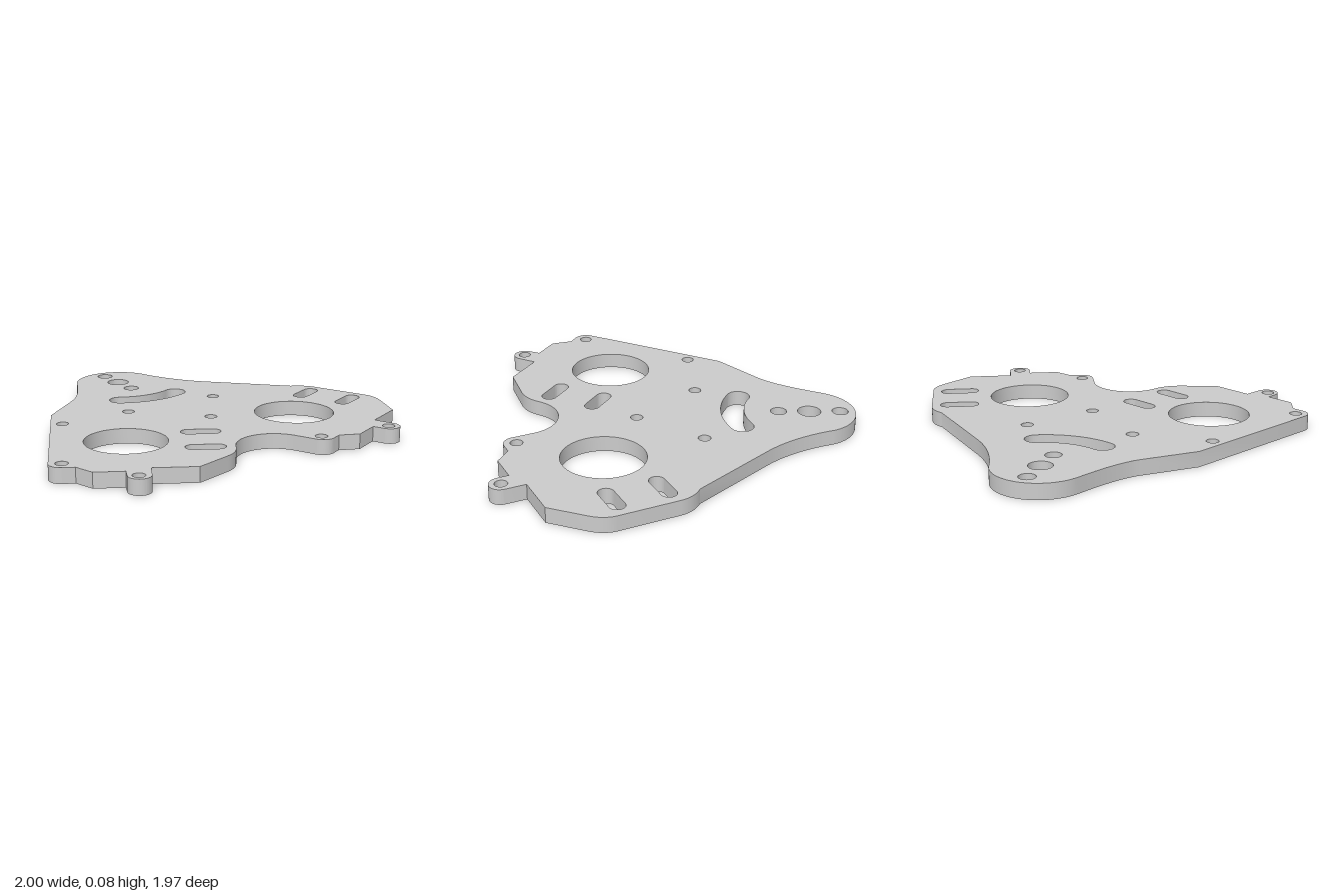
import * as THREE from 'three';
import { toCreasedNormals } from 'three/addons/utils/BufferGeometryUtils.js';

const THICKNESS = 0.08;
const PI = Math.PI;

// Round hole
function roundHole(x, z, r) {
  return new THREE.Path().absarc(x, z, r, 0, PI * 2, false);
}

// Straight slot with round ends, from (x1, z1) to (x2, z2)
function slot(x1, z1, x2, z2, r) {
  const a = Math.atan2(z2 - z1, x2 - x1);
  const p = new THREE.Path();
  p.absarc(x2, z2, r, a - PI / 2, a + PI / 2, false);
  p.absarc(x1, z1, r, a + PI / 2, a + PI * 1.5, false);
  p.closePath();
  return p;
}

// Curved slot following an arc of radius R about (x, z), angles a0 to a1
function arcSlot(x, z, R, a0, a1, r) {
  const p = new THREE.Path();
  p.absarc(x, z, R + r, a0, a1, false);
  p.absarc(x + R * Math.cos(a1), z + R * Math.sin(a1), r, a1, a1 + PI, false);
  p.absarc(x, z, R - r, a1, a0, true);
  p.absarc(x + R * Math.cos(a0), z + R * Math.sin(a0), r, a0 + PI, a0 + PI * 2, false);
  p.closePath();
  return p;
}

// Plate outline, drawn in x and z
function plateOutline() {
  const s = new THREE.Shape();
  // back edge
  s.moveTo(0.13, -0.93);
  s.quadraticCurveTo(0.185, -0.985, 0.26, -0.985);
  s.lineTo(0.57, -0.985);
  s.quadraticCurveTo(0.635, -0.985, 0.69, -0.93);
  s.lineTo(0.835, -0.78);
  s.lineTo(0.835, -0.548);
  // side ear and rounded corner
  s.absarc(0.942, -0.49, 0.058, -PI / 2, PI / 2, false);
  s.lineTo(0.88, -0.432);
  s.lineTo(0.88, -0.275);
  s.lineTo(0.8, -0.2);
  s.absarc(0.735, -0.14, 0.065, 0, PI / 2, false);
  // round bay and shoulder
  s.absarc(0.62, 0.125, 0.2, -PI / 2, 2.46 - PI * 2, true);
  s.absarc(0.312, 0.374, 0.195, -0.68, 0.1, false);
  s.lineTo(0.48, 0.605);
  s.lineTo(0.3, 0.745);
  // front ears
  s.absarc(0.315, 0.86, 0.058, -0.66, 2.42, false);
  s.lineTo(0.23, 0.85);
  s.lineTo(0.11, 0.945);
  s.lineTo(0, 0.93);
  s.absarc(-0.09, 0.92, 0.065, 0.78, 2.5, false);
  // left flank and large rounded lobe
  s.lineTo(-0.645, 0.31);
  s.lineTo(-0.73, 0.02);
  s.quadraticCurveTo(-0.763, -0.094, -0.94, -0.295);
  s.absarc(-0.76, -0.455, 0.24, 2.41, PI * 1.5, false);
  s.lineTo(-0.7, -0.69);
  s.quadraticCurveTo(-0.5, -0.682, -0.34, -0.745);
  s.closePath();
  return s;
}

export function createModel() {
  const shape = plateOutline();

  // two large bores, pivot hole and its two neighbours
  const round = [
    [0.405, -0.455, 0.212], [-0.045, 0.465, 0.212],
    [-0.76, -0.455, 0.06], [-0.905, -0.523, 0.042], [-0.617, -0.386, 0.042],
  ];
  // small screw holes
  const screws = [
    [-0.128, -0.49], [0.078, -0.137], [-0.343, 0.025], [-0.495, 0.402],
    [0.733, -0.137], [0.94, -0.49], [0.313, 0.863], [-0.09, 0.92],
  ];
  for (const [x, z] of screws) round.push([x, z, 0.032]);
  for (const h of round) shape.holes.push(roundHole(...h));

  // adjustment slots
  shape.holes.push(
    slot(0.275, -0.9, 0.275, -0.775, 0.04),
    slot(0.535, -0.9, 0.535, -0.775, 0.04),
    slot(0.13, 0.165, 0.23, 0.087, 0.04),
    slot(0.29, 0.37, 0.388, 0.293, 0.04),
    arcSlot(-0.76, -0.455, 0.398, 0, 0.91, 0.06),
  );

  // extrude, then lay flat on the ground
  let geometry = new THREE.ExtrudeGeometry(shape, {
    depth: THICKNESS, bevelEnabled: false, curveSegments: 32,
  });
  geometry.rotateX(PI / 2);
  geometry.translate(0, THICKNESS, 0);
  geometry = toCreasedNormals(geometry, 0.45);

  const plate = new THREE.Mesh(geometry, new THREE.MeshStandardMaterial({ color: 0xcccccc }));
  plate.name = 'mountingPlate';

  const model = new THREE.Group();
  model.name = 'motorMountPlate';
  model.add(plate);
  return model;
}
